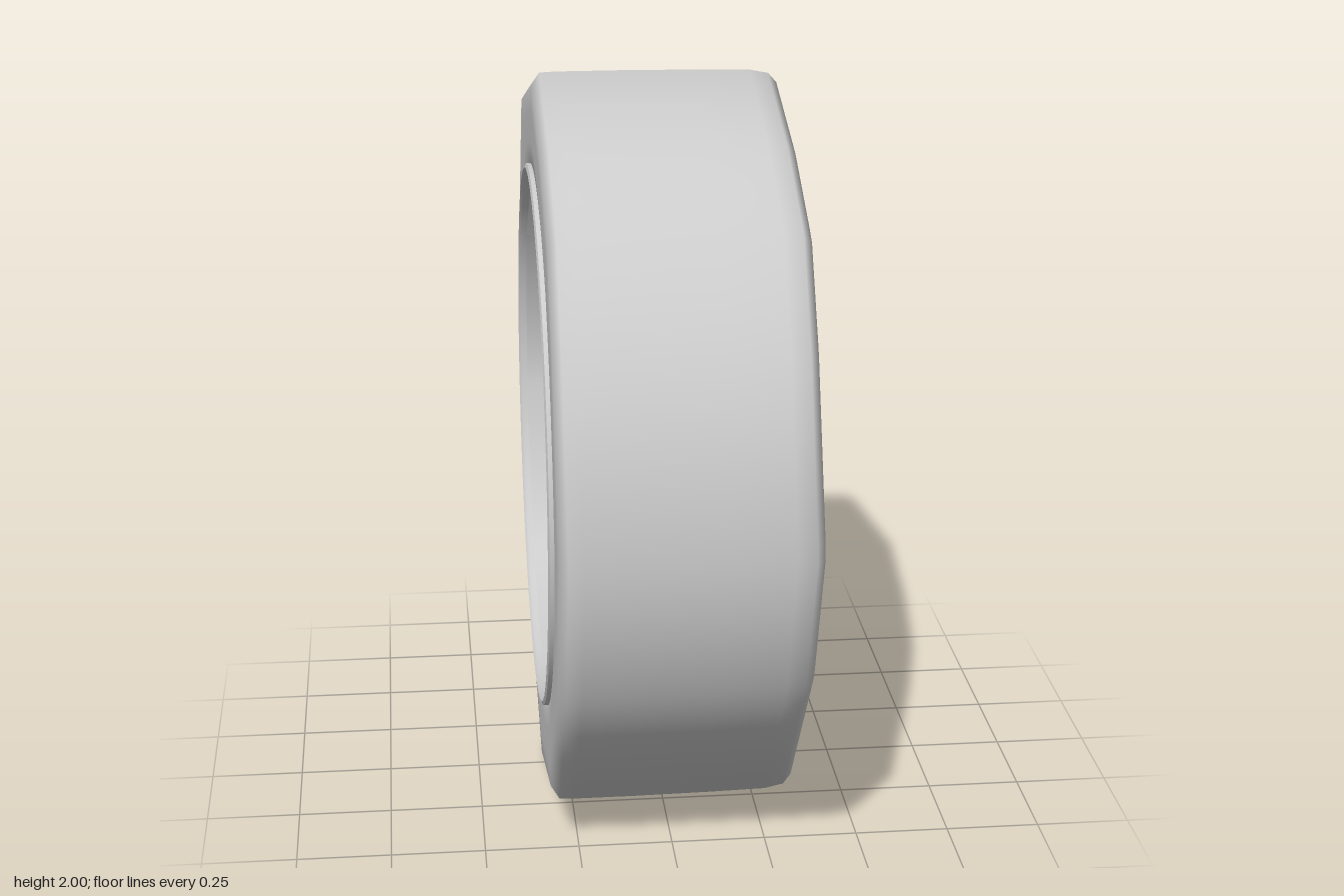
import * as THREE from 'three';
import { toCreasedNormals } from 'three/addons/utils/BufferGeometryUtils.js';

const grey = new THREE.MeshStandardMaterial({ color: 0xcccccc, side: THREE.DoubleSide });
const rad = THREE.MathUtils.degToRad;

// Uneven outline of the tyre, as [-z, y] about the axle, clockwise from the top
const outline = [
  [0, 1], [0.59, 0.83], [0.905, 0.32], [0.995, 0.02], [0.67, -0.71], [0, -0.995],
  [-0.49, -0.86], [-0.86, -0.385], [-1, 0.015], [-0.82, 0.485], [-0.67, 0.74], [-0.37, 0.89],
];

// Distance from the axle to the outline along a unit direction
function outlineRadius(u, v) {
  const cross = (ax, ay, bx, by) => ax * by - ay * bx;
  for (let i = 0; i < outline.length; i++) {
    const [ax, ay] = outline[i];
    const [bx, by] = outline[(i + 1) % outline.length];
    if (cross(ax, ay, u, v) <= 1e-6 && cross(u, v, bx, by) <= 1e-6) {
      return cross(ax, ay, bx, by) / cross(u, v, bx - ax, by - ay);
    }
  }
  return 1;
}

// Solid of revolution about the x axis from [x, radius] points
function turned(points, segments) {
  const geo = new THREE.LatheGeometry(points.map(([x, r]) => new THREE.Vector2(r, x)), segments);
  return geo.rotateZ(-Math.PI / 2);
}

function add(parent, name, geo) {
  const mesh = new THREE.Mesh(geo, grey);
  mesh.name = name;
  parent.add(mesh);
  return mesh;
}

// Round tyre pulled in to the faceted outline; the round normals are kept
function tyreGeometry() {
  const geo = turned([
    [-0.29, 0.71], [-0.318, 0.73], [-0.322, 0.8], [-0.322, 0.9], [-0.321, 0.965], [-0.3, 0.998],
    [-0.26, 1], [-0.1, 1], [0.1, 0.998], [0.25, 0.995], [0.3, 0.985], [0.322, 0.96],
    [0.324, 0.88], [0.324, 0.8], [0.318, 0.73], [0.29, 0.71],
  ], 144);
  const p = geo.attributes.position;
  for (let i = 0; i < p.count; i++) {
    const y = p.getY(i), z = p.getZ(i), r = Math.hypot(y, z);
    const w = THREE.MathUtils.clamp((r - 0.74) / 0.22, 0, 1);
    const k = THREE.MathUtils.lerp(1, outlineRadius(-z / r, y / r), w);
    p.setY(i, y * k);
    p.setZ(i, z * k);
  }
  return geo;
}

// Spoke along +y facing +x, lofted through rounded sections that flare into the rim
function spokeGeometry() {
  const stations = [ // radius, half width, front x, back x
    [0.1, 0.04, 0.235, 0.12], [0.2, 0.062, 0.25, 0.12], [0.3, 0.07, 0.262, 0.13],
    [0.46, 0.084, 0.278, 0.15], [0.58, 0.096, 0.288, 0.165], [0.635, 0.112, 0.292, 0.17],
    [0.67, 0.145, 0.294, 0.17], [0.7, 0.19, 0.296, 0.17],
  ];
  const arc = 8, n = arc + 3;
  const pos = [], index = [];
  stations.forEach(([r, w, front, back], j) => {
    pos.push(back, r, w);
    for (let i = 0; i <= arc; i++) {
      const t = Math.PI * i / arc;
      pos.push(front - 0.055 * (1 - Math.sin(t)), r, w * 0.94 * Math.cos(t));
    }
    pos.push(back, r, -w);
    if (j === 0) return;
    for (let i = 0; i < n; i++) {
      const a = (j - 1) * n + i, b = (j - 1) * n + (i + 1) % n;
      index.push(a, b, b + n, a, b + n, a + n);
    }
  });
  const geo = new THREE.BufferGeometry();
  geo.setAttribute('position', new THREE.Float32BufferAttribute(pos, 3));
  geo.setIndex(index);
  return toCreasedNormals(geo, rad(40));
}

// Hub plate with five bolt holes and an open centre, facing +x
function hubGeometry(boltAngles) {
  const shape = new THREE.Shape().absarc(0, 0, 0.235, 0, Math.PI * 2);
  shape.holes.push(new THREE.Path().absarc(0, 0, 0.085, 0, Math.PI * 2, true));
  for (const a of boltAngles) {
    shape.holes.push(new THREE.Path().absarc(0.155 * Math.cos(a), 0.155 * Math.sin(a), 0.032, 0, Math.PI * 2, true));
  }
  const geo = new THREE.ExtrudeGeometry(shape, {
    depth: 0.08, bevelEnabled: true, bevelSize: 0.012, bevelThickness: 0.015, bevelSegments: 2, curveSegments: 16,
  });
  geo.rotateY(Math.PI / 2).translate(0.135, 0, 0);
  return toCreasedNormals(geo, rad(40));
}

export function createModel() {
  const model = new THREE.Group();
  model.name = 'wheel';
  const wheel = new THREE.Group();
  wheel.name = 'wheelAssembly';
  wheel.position.y = 1;
  model.add(wheel);

  add(wheel, 'tyre', tyreGeometry());

  // Rim: front lip on +x, barrel, and rear lip with a coarse step inside it
  add(wheel, 'rimFront', toCreasedNormals(turned([
    [0.3, 0.738], [0.324, 0.735], [0.328, 0.722], [0.322, 0.71], [0.3, 0.7],
    [0.25, 0.685], [0.18, 0.655], [-0.02, 0.655],
  ], 64), rad(45)));
  add(wheel, 'rimBarrel', turned([[-0.01, 0.655], [-0.1, 0.66], [-0.2, 0.675], [-0.3, 0.712]], 48));
  add(wheel, 'rimRearLip', toCreasedNormals(turned([
    [-0.3, 0.712], [-0.325, 0.715], [-0.334, 0.725], [-0.33, 0.735], [-0.3, 0.738],
  ], 48), rad(45)));
  add(wheel, 'rimRearStep', turned([[-0.24, 0.7], [-0.312, 0.722]], 9)).rotation.x = rad(12);

  // Nine spokes
  const spoke = spokeGeometry();
  for (let i = 0; i < 9; i++) {
    add(wheel, 'spoke', spoke).rotation.x = rad(72 + 40 * i - 90);
  }

  // Hub, bolts and raised webs between the bolts
  const boltAngles = [0, 1, 2, 3, 4].map(i => rad(53 + 72 * i));
  add(wheel, 'hub', hubGeometry(boltAngles));
  add(wheel, 'hubBack', toCreasedNormals(turned([
    [0.11, 0], [0.11, 0.19], [0.17, 0.2], [0.17, 0],
  ], 32), rad(30)));
  const bolt = toCreasedNormals(new THREE.CylinderGeometry(0.02, 0.024, 0.05, 6).rotateZ(-Math.PI / 2), rad(30));
  const web = new THREE.CylinderGeometry(0.03, 0.06, 0.16, 6).scale(0.5, 1, 1);
  for (const a of boltAngles) {
    add(wheel, 'bolt', bolt).position.set(0.19, 0.155 * Math.sin(a), -0.155 * Math.cos(a));
    const b = a + rad(36);
    const mesh = add(wheel, 'hubWeb', web);
    mesh.position.set(0.245, 0.165 * Math.sin(b), -0.165 * Math.cos(b));
    mesh.rotation.x = b - Math.PI / 2;
  }

  // Five-sided collar around a recessed centre cap
  const collar = turned([[0.2, 0.085], [0.275, 0.1], [0.275, 0.12], [0.235, 0.14]].reverse(), 5);
  add(wheel, 'centreCollar', toCreasedNormals(collar, rad(30))).rotation.x = rad(53);
  add(wheel, 'centreCap', turned([[0.2, 0.095], [0.235, 0.05], [0.245, 0]], 6));

  // Brake disc and its raised inner ring
  add(wheel, 'brakeDisc', toCreasedNormals(turned([
    [-0.06, 0.3], [-0.06, 0.5], [-0.03, 0.5], [-0.03, 0.3],
  ], 48), rad(30)));
  add(wheel, 'brakeRing', toCreasedNormals(turned([
    [-0.065, 0.265], [-0.065, 0.325], [0.01, 0.325], [0.01, 0.265], [-0.065, 0.265],
  ], 48), rad(30)));

  // Tyre valve
  const valve = add(wheel, 'valve', new THREE.CylinderGeometry(0.01, 0.016, 0.06, 6));
  valve.position.set(0.22, -0.6, -0.28);
  valve.rotation.x = rad(-64 + 90);

  return model;
}
